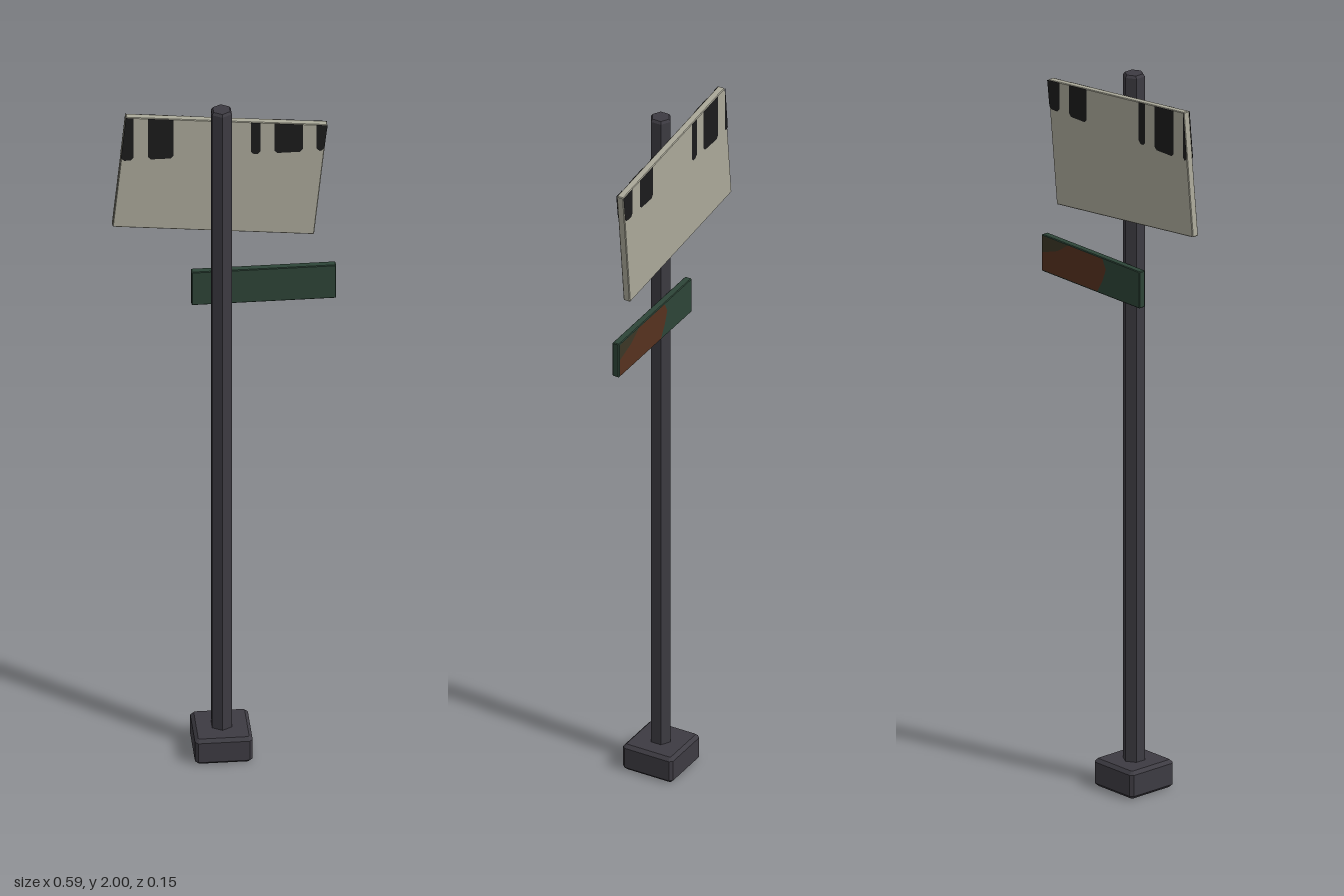
import * as THREE from 'three';

const mat = (name, color, side = THREE.FrontSide) => {
  const m = new THREE.MeshStandardMaterial({ color, side });
  m.name = name;
  return m;
};

// Flat-faced slab with chamfered corners and edges, thickness along z
function slab(w, h, d, bevel, corner) {
  const x = w / 2 - bevel, y = h / 2 - bevel, c = corner;
  const pts = [[-x + c, -y], [x - c, -y], [x, -y + c], [x, y - c], [x - c, y], [-x + c, y], [-x, y - c], [-x, -y + c]];
  const shape = new THREE.Shape(pts.map(p => new THREE.Vector2(...p)));
  const g = new THREE.ExtrudeGeometry(shape, {
    depth: d - 2 * bevel, bevelEnabled: true, bevelSize: bevel, bevelThickness: bevel, bevelSegments: 1,
  });
  return g.translate(0, 0, -d / 2 + bevel);
}

export function createModel() {
  const group = new THREE.Group();
  const iron = mat('dark iron', 0x3d3b42);
  const cream = mat('weathered cream', 0xaaa899);
  const green = mat('dark green', 0x2d4437);
  const black = mat('black stain', 0x1b1b1c, THREE.DoubleSide);
  const rust = mat('rust', 0x56311f, THREE.DoubleSide);
  const brown = mat('greenish brown', 0x3b3626, THREE.DoubleSide);

  const add = (name, geometry, material, x = 0, y = 0, z = 0) => {
    const mesh = new THREE.Mesh(geometry, material);
    mesh.name = name;
    mesh.position.set(x, y, z);
    group.add(mesh);
    return mesh;
  };
  const patch = (name, pts, material, z) =>
    add(name, new THREE.ShapeGeometry(new THREE.Shape(pts.map(p => new THREE.Vector2(...p)))), material, 0, 0, z);

  // Square foot
  const foot = slab(0.152, 0.152, 0.077, 0.009, 0.003).rotateX(-Math.PI / 2);
  add('foot', foot, iron, -0.012, 0.0385, -0.001);

  // Six-sided post with a chamfered top
  const profile = [[0.03, 0.06], [0.03, 1.993], [0.025, 2], [0, 2]].map(p => new THREE.Vector2(...p));
  const post = new THREE.LatheGeometry(profile, 6).toNonIndexed();
  post.computeVertexNormals();
  add('post', post, iron, -0.012, 0, 0);

  // Tilted large board and level small board behind the post
  add('largeBoard', slab(0.534, 0.342, 0.02, 0.002, 0.001), cream, -0.013, 1.7725, -0.04)
    .rotation.z = -0.104;
  add('smallBoard', slab(0.381, 0.103, 0.02, 0.002, 0.001), green, 0.1025, 1.4235, -0.04);

  // Upright stains hanging from the top edge of the large board, clipped to its slanted sides
  const topY = x => 1.969 - (x + 0.26) * 0.1038;
  const clipX = (x, y) => {
    const left = -0.26 - (1.97 - y) * 0.1038, right = 0.27 - (1.915 - y) * 0.1038;
    return Math.min(Math.max(x, left), right);
  };
  const stain = (name, a, b, z) => {
    const bottom = 1.836, cut = 0.008;
    const ta = clipX(a, 1.96), tb = clipX(b, 1.92);
    const ba = clipX(a, bottom), bb = clipX(b, bottom);
    patch(name, [[ta, topY(ta)], [ba, bottom + cut], [ba + cut, bottom], [bb - cut, bottom],
      [bb, bottom + cut], [tb, topY(tb)]], black, z);
  };
  const spans = [[-0.4, -0.241], [-0.203, -0.135], [0.068, 0.094], [0.13, 0.205], [0.241, 0.4]];
  for (const [a, b] of spans) {
    stain('frontStain', a, b, -0.029);
    stain('backStain', -0.018 - b, -0.018 - a, -0.051);
  }

  // Rust on the back of the small board
  patch('rustPatch', [[0.29, 1.376], [0.075, 1.376], [0.055, 1.41], [0.042, 1.445], [0.055, 1.472],
    [0.19, 1.472], [0.23, 1.445], [0.29, 1.425]], rust, -0.051);
  patch('fadedRust', [[0.29, 1.425], [0.23, 1.445], [0.19, 1.472], [0.29, 1.472]], brown, -0.051);

  return group;
}
